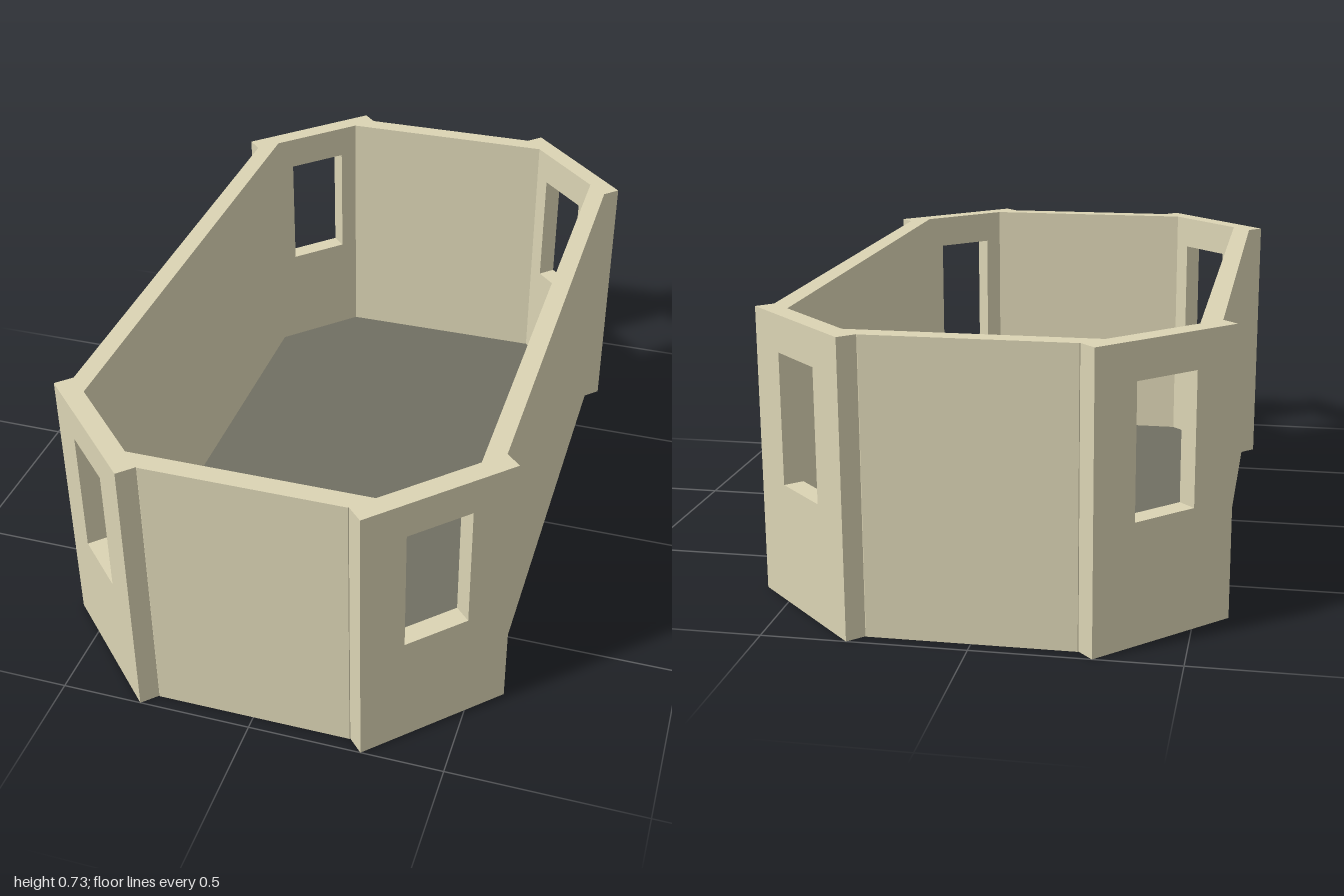
import * as THREE from 'three';

const HEIGHT = 0.73;
const WALL = 0.05;
const wallMaterial = new THREE.MeshStandardMaterial({ color: 0xdbd4b4, flatShading: true });
const floorMaterial = new THREE.MeshStandardMaterial({ color: 0x706f62, flatShading: true });

const shapeOf = (points) => new THREE.Shape(points.map(([x, y]) => new THREE.Vector2(x, y)));

// Prism standing on y = 0 from a plan outline given as [x, z]
function prism(plan, height) {
  const shape = shapeOf(plan.map(([x, z]) => [x, -z]));
  return new THREE.ExtrudeGeometry(shape, { depth: height, bevelEnabled: false }).rotateX(-Math.PI / 2);
}

function addMesh(group, name, geometry, material) {
  const mesh = new THREE.Mesh(geometry, material);
  mesh.name = name;
  group.add(mesh);
  return mesh;
}

export function createModel() {
  const group = new THREE.Group();
  group.name = 'octagonalEnclosure';

  // Straight walls, mitred against the corner panels
  const walls = [
    ['frontWall', 0, 0.302, 0.915],
    ['backWall', Math.PI, 0.302, 0.915],
    ['leftWall', Math.PI / 2, 0.72, 0.497],
    ['rightWall', -Math.PI / 2, 0.72, 0.497],
  ];
  for (const [name, angle, half, inner] of walls) {
    const outer = inner + WALL;
    const plan = [[-half, inner], [half, inner], [half - WALL, outer], [WALL - half, outer]];
    addMesh(group, name, prism(plan, HEIGHT), wallMaterial).rotation.y = angle;
  }

  // Diagonal corner panels, each with a window opening
  const w = 0.207;
  const panel = shapeOf([[-w, 0], [w, 0], [w, HEIGHT], [-w, HEIGHT]]);
  const h = 0.088;
  panel.holes.push(shapeOf([[-h, 0.305], [-h, 0.637], [h, 0.637], [h, 0.305]]));
  const panelGeometry = new THREE.ExtrudeGeometry(panel, { depth: 0.052, bevelEnabled: false });
  for (const sx of [-1, 1]) {
    for (const sz of [-1, 1]) {
      const name = (sz > 0 ? 'front' : 'back') + (sx > 0 ? 'Left' : 'Right') + 'WindowPanel';
      const mesh = addMesh(group, name, panelGeometry, wallMaterial);
      mesh.position.set(sx * 0.4, 0, sz * 0.817);
      mesh.rotation.y = Math.atan2(sx, sz);
    }
  }

  // Thin floor filling the inner octagon
  const floorPlan = [
    [0.302, 0.915], [0.497, 0.72], [0.497, -0.72], [0.302, -0.915],
    [-0.302, -0.915], [-0.497, -0.72], [-0.497, 0.72], [-0.302, 0.915],
  ];
  addMesh(group, 'floor', prism(floorPlan, 0.003), floorMaterial);

  return group;
}
